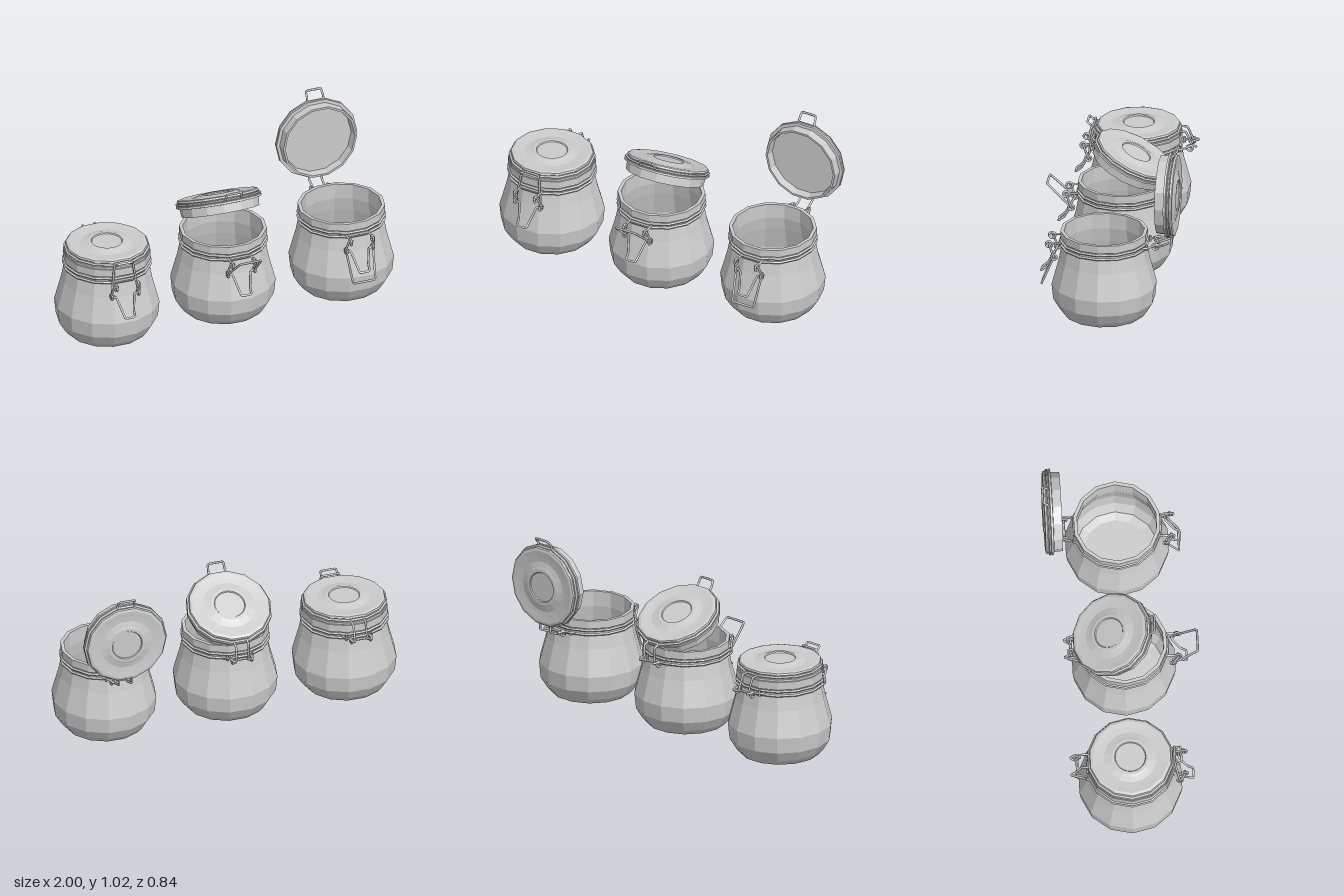
import * as THREE from 'three';

const SIDES = 14;
const PIVOT = { y: 0.435, z: -0.295 }; // lid hinge axis
const glass = new THREE.MeshStandardMaterial({ color: 0xcccccc, flatShading: true });
const metal = new THREE.MeshStandardMaterial({ color: 0xcccccc });

function named(geometry, material, name) {
  const mesh = new THREE.Mesh(geometry, material);
  mesh.name = name;
  return mesh;
}

// Faceted turned body from [radius, y] pairs, with a flat side facing the front
function turned(profile, name, material = glass) {
  const pts = profile.map(([r, y]) => new THREE.Vector2(r, y));
  return named(new THREE.LatheGeometry(pts, SIDES, Math.PI / SIDES), material, name);
}

// Wire hoop that follows the faceted neck
function hoop(radius, y, thick, name) {
  const profile = [];
  for (let i = 0; i <= 8; i++) {
    const a = (i / 8) * Math.PI * 2;
    profile.push([radius + Math.cos(a) * thick, y + Math.sin(a) * thick]);
  }
  return turned(profile, name, metal);
}

// Bent wire through [x, y, z] points
function wire(points, name, closed = false, thick = 0.0065) {
  const curve = new THREE.CatmullRomCurve3(
    points.map(p => new THREE.Vector3(...p)), closed, 'catmullrom', 0.15);
  return named(new THREE.TubeGeometry(curve, points.length * 8, thick, 6, closed), metal, name);
}

// Wire symmetric in x: the half path is mirrored and joined at its last point
function mirroredWire(half, name) {
  const other = half.map(([x, y, z]) => [-x, y, z]).reverse();
  return wire([...half, ...other], name);
}

// Small eye of bent wire lying in the side plane
function eye(x, y, z, radius, name) {
  const mesh = named(new THREE.TorusGeometry(radius, 0.0065, 6, 12), metal, name);
  mesh.rotation.y = Math.PI / 2;
  mesh.position.set(x, y, z);
  return mesh;
}

function makeJar() {
  const jar = new THREE.Group();
  jar.name = 'jar';
  jar.add(turned([
    [0, 0.012], [0.155, 0.012], [0.175, 0], [0.225, 0], [0.25, 0.03], [0.286, 0.09],
    [0.295, 0.18], [0.255, 0.33], [0.241, 0.405], [0.238, 0.45], [0.246, 0.455],
    [0.246, 0.5], [0.226, 0.5], [0.226, 0.41], [0.24, 0.33], [0.278, 0.18],
    [0.27, 0.09], [0.235, 0.035], [0.19, 0.022], [0, 0.022],
  ], 'jarBody'));
  jar.add(hoop(0.245, 0.418, 0.007, 'lowerNeckWire'), hoop(0.245, 0.442, 0.007, 'upperNeckWire'));

  // Rear hinge fixed to the neck
  jar.add(mirroredWire([
    [0.085, 0.43, -0.225], [0.07, 0.43, -0.255], [0.065, 0.45, -0.3],
    [0.05, 0.445, -0.335], [0.03, 0.44, -0.3],
  ], 'hingeBracket'));
  for (const s of [-1, 1]) {
    jar.add(eye(s * 0.055, PIVOT.y, PIVOT.z, 0.017, 'hingeEye'));
    jar.add(wire([[s * 0.07, 0.412, -0.25], [s * 0.07, 0.452, -0.25]], 'hingeClip'));
    // Front eyes that carry the lever
    jar.add(wire([[s * 0.065, 0.43, 0.23], [s * 0.065, 0.428, 0.29]], 'leverBracket'));
    jar.add(eye(s * 0.065, 0.42, 0.302, 0.018, 'leverEye'));
    jar.add(eye(s * 0.08, 0.35, 0.273, 0.016, 'bailEye'));
  }
  jar.add(wire([[-0.065, 0.43, 0.245], [0.065, 0.43, 0.245]], 'leverCrossbar'));

  // Lever handle hanging in front
  jar.add(mirroredWire([
    [0.05, 0.425, 0.302], [0.075, 0.425, 0.302], [0.085, 0.35, 0.273],
    [0.055, 0.345, 0.277], [0.034, 0.27, 0.32], [0.028, 0.243, 0.352],
  ], 'lever'));
  return jar;
}

// Locking bail from its pivot to the given end point in the side plane
function makeBail(endY, endZ, endHalf) {
  return mirroredWire([
    [0.062, 0.35, 0.273], [0.08, 0.35, 0.273],
    [endHalf + 0.008, 0.35 + (endY - 0.35) * 0.9, 0.273 + (endZ - 0.273) * 0.9],
    [endHalf, endY, endZ],
  ], 'bail');
}

// Lid drawn in its closed place, then swung open about the hinge axis
function makeLid(angle) {
  const lid = new THREE.Group();
  lid.name = 'lid';
  const parts = new THREE.Group();
  parts.name = 'lidParts';
  parts.position.set(0, -PIVOT.y, -PIVOT.z);
  parts.add(turned([
    [0, 0.5], [0.205, 0.5], [0.21, 0.452], [0.222, 0.452], [0.225, 0.501],
    [0.243, 0.503], [0.243, 0.515], [0.228, 0.52], [0.228, 0.532], [0.234, 0.537],
    [0.23, 0.547], [0.215, 0.551], [0.18, 0.547], [0.15, 0.545],
    [0.12, 0.552], [0.105, 0.557],
  ], 'lidBody'));
  const top = [[0.105, 0.557], [0.088, 0.557], [0.084, 0.551], [0, 0.551]];
  parts.add(named(new THREE.LatheGeometry(top.map(p => new THREE.Vector2(...p)), 28,
    Math.PI / SIDES), glass, 'lidCentre'));
  parts.add(hoop(0.236, 0.525, 0.007, 'lidWire'));

  // Catch for the bail, and the arms running back to the hinge
  parts.add(mirroredWire([
    [0.05, 0.525, 0.228], [0.048, 0.53, 0.252], [0.043, 0.555, 0.283],
  ], 'catch'));
  parts.add(mirroredWire([
    [0.038, 0.525, -0.228], [0.038, 0.525, -0.265], [0.036, 0.515, -0.275],
    [0.036, 0.435, -0.308], [0.036, PIVOT.y, PIVOT.z],
  ], 'hingeArm'));
  parts.add(wire([[-0.07, PIVOT.y, PIVOT.z], [0.07, PIVOT.y, PIVOT.z]], 'hingePin'));
  lid.add(parts);
  lid.position.set(0, PIVOT.y, PIVOT.z);
  lid.rotation.x = -angle;
  return lid;
}

export function createModel() {
  const model = new THREE.Group();
  model.name = 'clipTopJars';
  // Closed, half open and fully open
  const states = [
    { name: 'closedJar', x: -0.708, angle: 0, bail: [0.543, 0.248, 0.048] },
    { name: 'halfOpenJar', x: -0.008, angle: 26 * Math.PI / 180, bail: [0.48, 0.412, 0.058] },
    { name: 'openJar', x: 0.705, angle: Math.PI / 2, bail: [0.178, 0.345, 0.06] },
  ];
  for (const { name, x, angle, bail } of states) {
    const set = new THREE.Group();
    set.name = name;
    set.position.x = x;
    set.add(makeJar(), makeLid(angle), makeBail(...bail));
    model.add(set);
  }
  return model;
}
